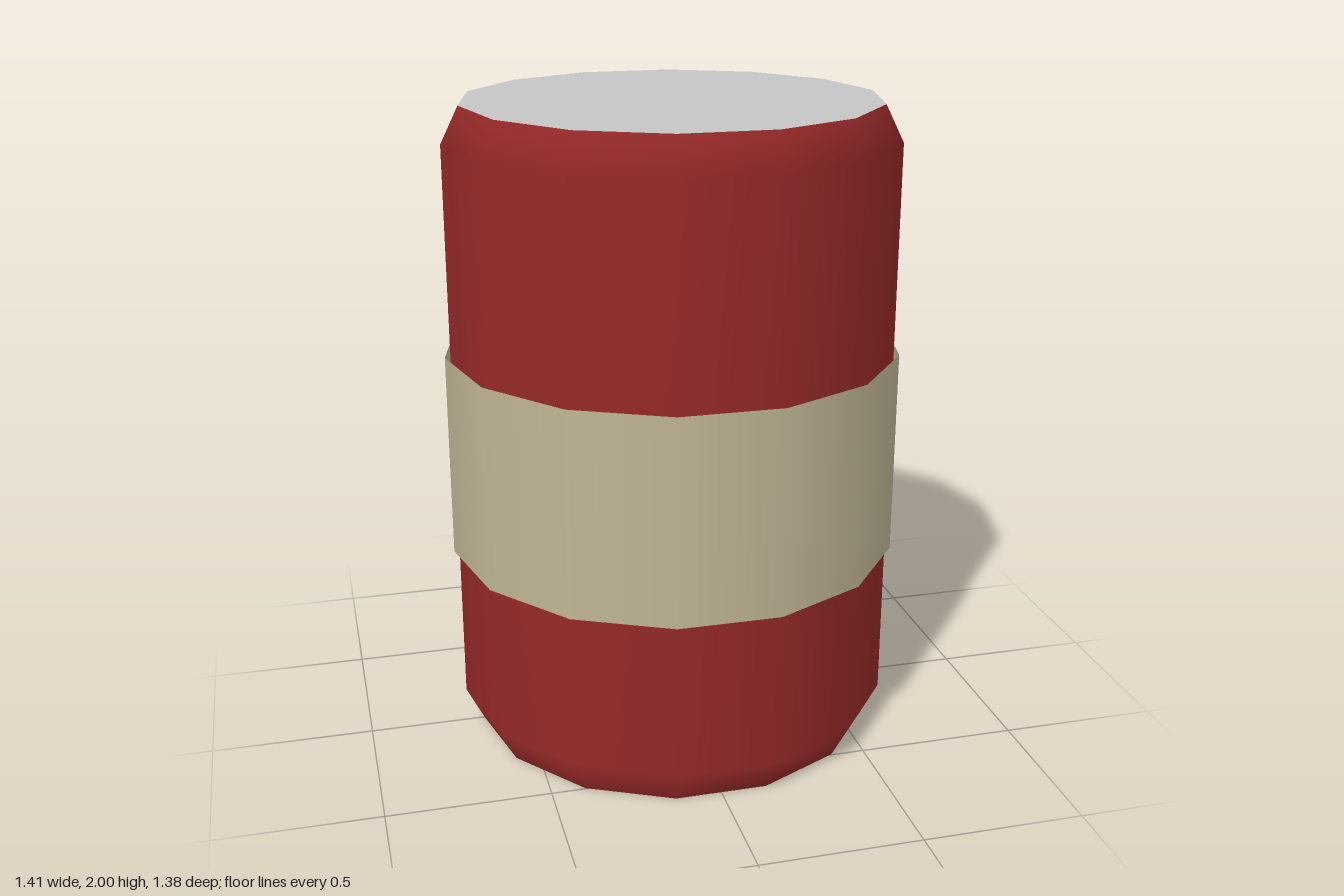
import * as THREE from 'three';

const SIDES = 14;

export function createModel() {
  const group = new THREE.Group();
  const material = (name, color) => {
    const m = new THREE.MeshStandardMaterial({ color });
    m.name = name;
    return m;
  };
  const red = material('red', 0x962929);
  const cream = material('cream', 0xc0b596);
  const grey = material('grey', 0xc6c6c6);
  cream.side = THREE.DoubleSide;

  const add = (name, geometry, mat, y = 0) => {
    const mesh = new THREE.Mesh(geometry, mat);
    mesh.name = name;
    mesh.position.y = y;
    group.add(mesh);
  };

  // Body wall with bevelled rims, smooth across the bevels
  const profile = [[0.635, 0], [0.69, 0.11], [0.69, 1.89], [0.635, 2]]
    .map(([x, y]) => new THREE.Vector2(x, y));
  add('body', new THREE.LatheGeometry(profile, SIDES).rotateY(Math.PI / 2), red);

  // Flat end caps
  const cap = () => new THREE.CircleGeometry(0.635, SIDES);
  add('topCap', cap().rotateX(-Math.PI / 2), grey, 2);
  add('bottomCap', cap().rotateX(Math.PI / 2), grey, 0);

  // Open label sleeve around the middle
  const sleeve = new THREE.CylinderGeometry(0.707, 0.707, 0.64, SIDES, 1, true);
  add('labelBand', sleeve.rotateY(Math.PI / 2), cream, 0.925);

  return group;
}
